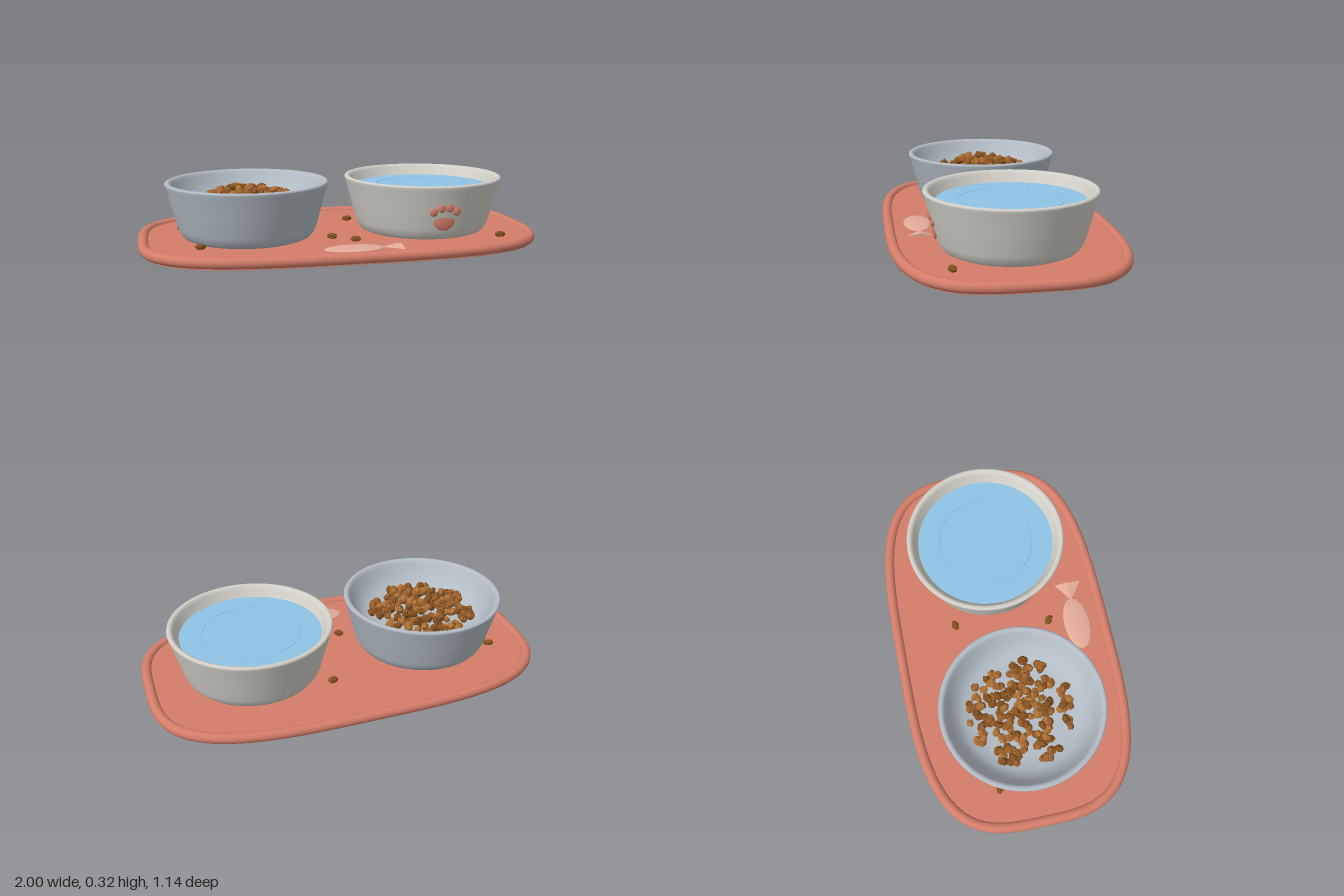
import * as THREE from 'three';

const paint = (name, color) => {
  const m = new THREE.MeshStandardMaterial({ color });
  m.name = name;
  return m;
};

function add(parent, name, geometry, material, x = 0, y = 0, z = 0) {
  const mesh = new THREE.Mesh(geometry, material);
  mesh.name = name;
  mesh.position.set(x, y, z);
  parent.add(mesh);
  return mesh;
}

// small seeded generator
function seeded(seed) {
  return () => {
    seed = (seed * 16807) % 2147483647;
    return seed / 2147483647;
  };
}

// rounded oblong outline of the mat
function outline(a, b, count = 96) {
  const points = [];
  const power = 2 / 3.4;
  for (let i = 0; i < count; i++) {
    const t = (i / count) * Math.PI * 2;
    const c = Math.cos(t), s = Math.sin(t);
    points.push(new THREE.Vector2(
      a * Math.sign(c) * Math.abs(c) ** power,
      b * Math.sign(s) * Math.abs(s) ** power));
  }
  return points;
}

export function createModel() {
  const model = new THREE.Group();
  model.name = 'petBowlSet';
  const clay = paint('clay pink', 0xd47d69);
  const blush = paint('light pink', 0xe3ab97);
  const steel = paint('blue grey', 0xb3bcc5);
  const cream = paint('warm grey', 0xd2d0c8);
  const blue = paint('water blue', 0x8fc4e6);
  const paleBlue = paint('pale blue', 0x9bcaea);
  const browns = [paint('kibble brown', 0x9c602b), paint('dark kibble', 0x84501f), paint('light kibble', 0xad7033)];
  const rand = seeded(4711);

  // mat with a raised round rim
  const mat = new THREE.Group();
  mat.name = 'mat';
  model.add(mat);
  const base = new THREE.ExtrudeGeometry(new THREE.Shape(outline(0.974, 0.543)), { depth: 0.04, bevelEnabled: false });
  base.rotateX(-Math.PI / 2);
  add(mat, 'matBase', base, clay);
  const path = new THREE.CatmullRomCurve3(outline(0.974, 0.543).map(p => new THREE.Vector3(p.x, 0, p.y)), true);
  add(mat, 'matRim', new THREE.TubeGeometry(path, 200, 0.026, 14, true), clay, 0, 0.032, 0);

  // bowls: outside wall, rounded lip, curved inside
  const profile = [
    [0, 0.04], [0.3, 0.04], [0.318, 0.048], [0.332, 0.065], [0.346, 0.095], [0.374, 0.2],
    [0.4, 0.297], [0.405, 0.309], [0.404, 0.316], [0.398, 0.32], [0.388, 0.32], [0.379, 0.315],
    [0.372, 0.303], [0.352, 0.265], [0.328, 0.228], [0.29, 0.195], [0.22, 0.175], [0, 0.17],
  ].map(p => new THREE.Vector2(...p));
  const bowlGeometry = new THREE.LatheGeometry(profile, 72);
  const bowlX = 0.457;
  add(model, 'foodBowl', bowlGeometry, steel, -bowlX);
  add(model, 'waterBowl', bowlGeometry, cream, bowlX);

  // water with a faint ripple
  const disc = new THREE.CircleGeometry(0.35, 72).rotateX(-Math.PI / 2);
  add(model, 'water', disc, blue, bowlX, 0.265, 0);
  const ring = new THREE.TorusGeometry(0.242, 0.002, 6, 72).rotateX(Math.PI / 2);
  add(model, 'ripple', ring, paleBlue, bowlX, 0.265, 0);

  // paw print, half sunk into the sloping wall
  const ball = new THREE.SphereGeometry(1, 24, 16);
  const paw = new THREE.Group();
  paw.name = 'pawPrint';
  model.add(paw);
  add(paw, 'pawPad', ball, clay, bowlX, 0.147, 0.352).scale.set(0.055, 0.053, 0.011);
  for (const side of [-1, 1]) {
    add(paw, 'outerToe', ball, clay, bowlX + side * 0.058, 0.192, 0.366).scale.set(0.021, 0.024, 0.011);
    add(paw, 'innerToe', ball, clay, bowlX + side * 0.02, 0.211, 0.374).scale.set(0.02, 0.023, 0.01);
  }

  // raised fish on the mat
  const fish = new THREE.Group();
  fish.name = 'fish';
  model.add(fish);
  add(fish, 'fishBody', ball, blush, -0.003, 0.041, 0.4).scale.set(0.145, 0.012, 0.069);
  const tail = new THREE.ConeGeometry(0.07, 0.1, 4).rotateZ(Math.PI / 2).scale(1, 0.17, 1).toNonIndexed();
  tail.computeVertexNormals();
  add(fish, 'fishTail', tail, blush, 0.18, 0.042, 0.4);

  // kibble heap
  const chunk = new THREE.DodecahedronGeometry(1, 0);
  const heap = new THREE.Group();
  heap.name = 'kibbleHeap';
  model.add(heap);
  for (let i = 0; i < 190; i++) {
    const r = 0.265 * rand() ** 0.62;
    const t = rand() * Math.PI * 2;
    const low = 0.185 + 0.35 * r * r;
    const high = 0.215 + 0.075 * (1 - (r / 0.27) ** 2);
    const piece = add(heap, 'kibble', chunk, browns[Math.floor(rand() * 3)],
      -bowlX + r * Math.cos(t), low + (high - low) * Math.sqrt(rand()), r * Math.sin(t));
    const s = 0.021 + 0.006 * rand();
    piece.scale.set(s * 1.1, s * 0.75, s * 0.9);
    piece.rotation.set(rand() * 3, rand() * 6, rand() * 3);
  }

  // spilled pieces on the mat
  const spilled = [[0.11, -0.235], [-0.06, 0.17], [0.04, 0.255], [0.77, 0.31], [-0.71, 0.26], [-0.777, -0.177]];
  spilled.forEach(([x, z], i) => {
    const piece = add(model, 'spilledKibble', chunk, browns[1], x, 0.053, z);
    piece.scale.set(0.029, 0.016, 0.021);
    piece.rotation.y = [0.3, -0.9, -0.7, 0.2, 0.3, -0.4][i];
  });
  return model;
}
